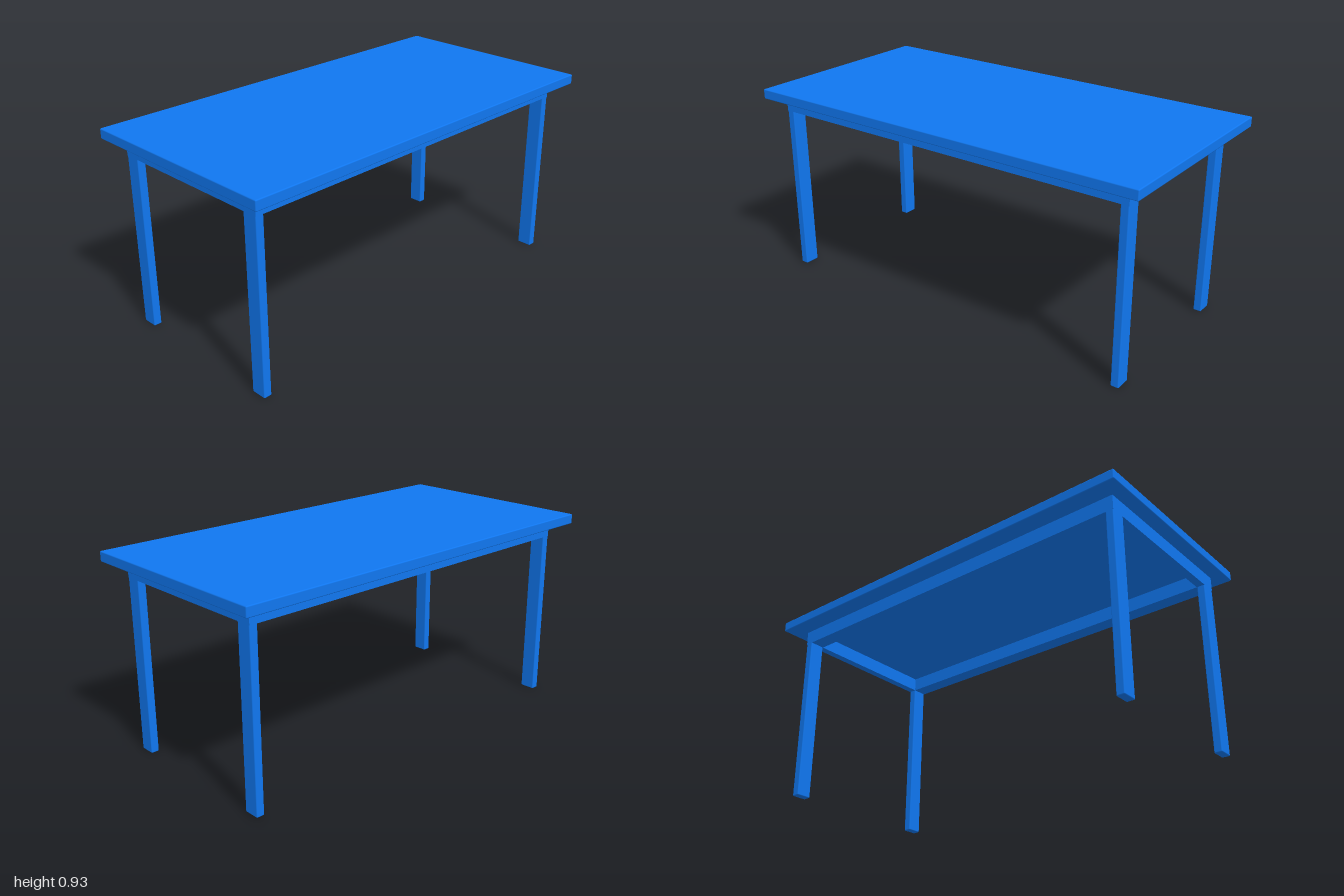
import * as THREE from 'three';
import { RoundedBoxGeometry } from 'three/addons/geometries/RoundedBoxGeometry.js';

const TOP_Y = 0.925, APRON_TOP = 0.878, APRON_BOTTOM = 0.81;
const LEG_W = 0.073, LEG_D = 0.038;
// Outer limits of the base, which sits very slightly off centre
const X0 = -0.411, X1 = 0.418, Z0 = -0.921, Z1 = 0.936;

export function createModel() {
  const table = new THREE.Group();
  table.name = 'table';
  const material = new THREE.MeshStandardMaterial({ color: 0x1077f0 });

  const add = (name, geometry, x, y, z) => {
    const mesh = new THREE.Mesh(geometry, material);
    mesh.name = name;
    mesh.position.set(x, y, z);
    table.add(mesh);
    return mesh;
  };

  // Table top with softly eased edges
  const thickness = TOP_Y - APRON_TOP;
  add('tableTop', new RoundedBoxGeometry(1, thickness, 2, 2, 0.005),
    0, APRON_TOP + thickness / 2, 0);

  // Apron: a rectangular ring, flush with the legs (shape y becomes -z)
  const rectangle = (PathType, x0, x1, z0, z1) => new PathType([
    new THREE.Vector2(x0, -z0), new THREE.Vector2(x0, -z1),
    new THREE.Vector2(x1, -z1), new THREE.Vector2(x1, -z0),
  ]);
  const ring = rectangle(THREE.Shape, X0, X1, Z0, Z1);
  ring.holes.push(rectangle(THREE.Path, X0 + LEG_W, X1 - LEG_W, Z0 + LEG_D, Z1 - LEG_D));
  const apron = new THREE.ExtrudeGeometry(ring, { depth: APRON_TOP - APRON_BOTTOM, bevelEnabled: false });
  apron.rotateX(-Math.PI / 2);
  add('apron', apron, 0, APRON_BOTTOM, 0);

  // Four flat legs, rising a little into the apron corners
  const legHeight = APRON_BOTTOM + 0.01;
  const leg = new RoundedBoxGeometry(LEG_W, legHeight, LEG_D, 2, 0.005);
  for (const [side, x] of [['Right', X0 + LEG_W / 2], ['Left', X1 - LEG_W / 2]]) {
    for (const [end, z] of [['front', Z1 - LEG_D / 2], ['back', Z0 + LEG_D / 2]]) {
      add(`${end}${side}Leg`, leg, x, legHeight / 2, z);
    }
  }
  return table;
}
